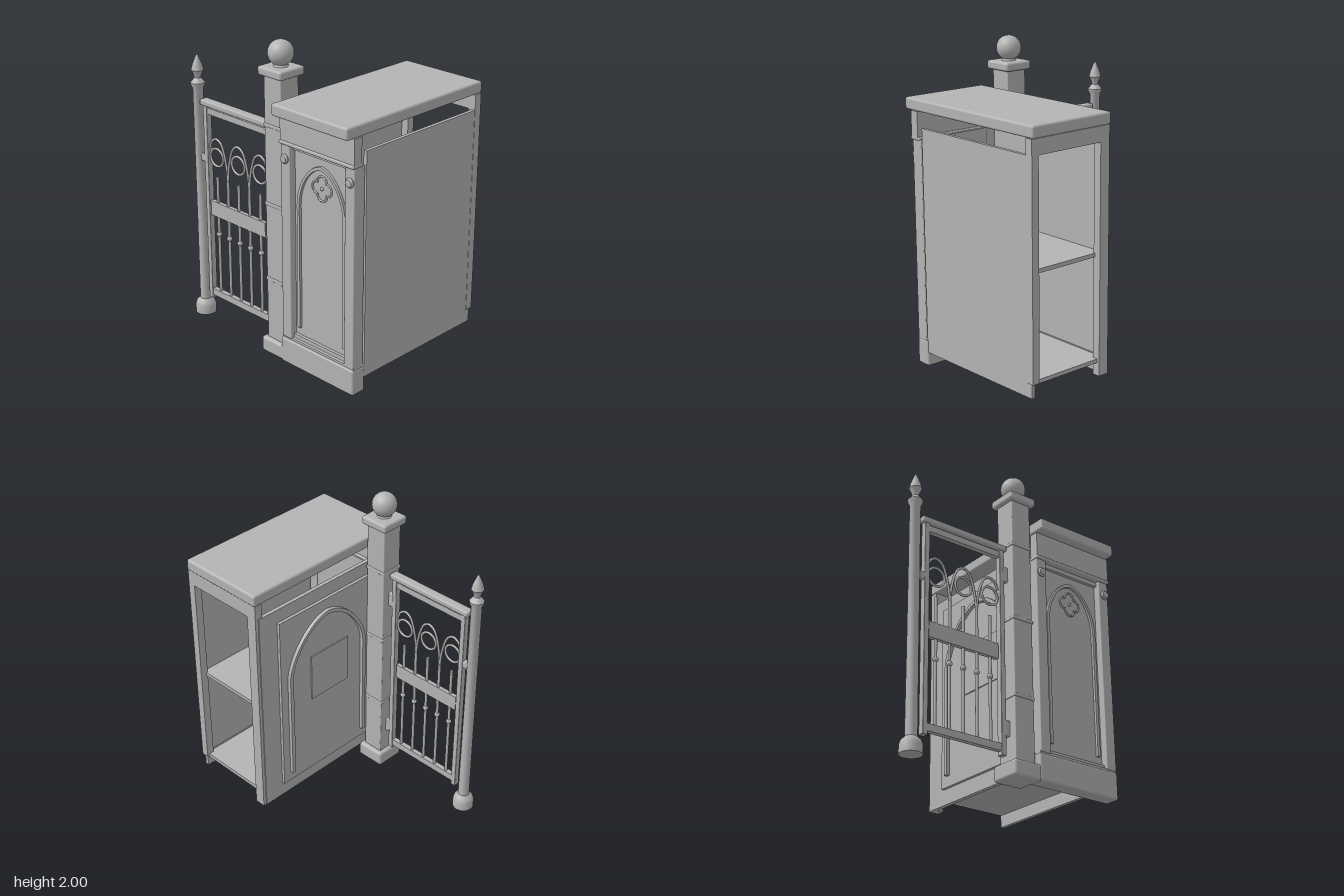
import * as THREE from 'three';
import { RoundedBoxGeometry } from 'three/addons/geometries/RoundedBoxGeometry.js';
import { toCreasedNormals } from 'three/addons/utils/BufferGeometryUtils.js';

const stone = new THREE.MeshStandardMaterial({ color: 0xb4b4b4 });
stone.name = 'light grey';

function add(parent, name, geometry, x = 0, y = 0, z = 0) {
  const mesh = new THREE.Mesh(geometry, stone);
  mesh.name = name;
  mesh.position.set(x, y, z);
  parent.add(mesh);
  return mesh;
}

// Box given by its limits, with optional rounded edges
function box(parent, name, [x0, x1], [y0, y1], [z0, z1], r = 0) {
  const w = x1 - x0, h = y1 - y0, d = z1 - z0;
  const g = r ? new RoundedBoxGeometry(w, h, d, 3, r) : new THREE.BoxGeometry(w, h, d);
  return add(parent, name, g, (x0 + x1) / 2, (y0 + y1) / 2, (z0 + z1) / 2);
}

function group(parent, name) {
  const g = new THREE.Group();
  g.name = name;
  parent.add(g);
  return g;
}

const lathe = (points) => toCreasedNormals(
  new THREE.LatheGeometry(points.map(([r, y]) => new THREE.Vector2(r, y)), 24), 0.6);

// Pointed arch moulding, open at the bottom
function archMoulding(w, bottom, spring, apex, t, depth) {
  const i = w - t, top = apex - t, s = new THREE.Shape();
  s.moveTo(w, bottom);
  s.lineTo(w, spring);
  s.bezierCurveTo(w, spring + 0.14, w * 0.5, apex - 0.01, 0, apex);
  s.bezierCurveTo(-w * 0.5, apex - 0.01, -w, spring + 0.14, -w, spring);
  s.lineTo(-w, bottom);
  s.lineTo(-i, bottom);
  s.lineTo(-i, spring);
  s.bezierCurveTo(-i, spring + 0.14, -i * 0.5, top - 0.01, 0, top);
  s.bezierCurveTo(i * 0.5, top - 0.01, i, spring + 0.14, i, spring);
  s.lineTo(i, bottom);
  s.closePath();
  return new THREE.ExtrudeGeometry(s, {
    depth: depth - 0.004, bevelThickness: 0.004, bevelSize: 0.003, bevelOffset: -0.003, bevelSegments: 2, curveSegments: 16,
  });
}

function buildCabinet(root) {
  const c = group(root, 'cabinet');
  box(c, 'top', [0.145, 0.74], [1.605, 1.68], [-0.58, 0.575], 0.015);
  box(c, 'frieze', [0.155, 0.74], [1.445, 1.605], [0.455, 0.515]);
  box(c, 'friezeMoulding', [0.15, 0.74], [1.428, 1.45], [0.44, 0.525], 0.008);
  box(c, 'plinth', [0.14, 0.74], [0, 0.17], [0.41, 0.515], 0.015);
  box(c, 'plinthMoulding', [0.15, 0.737], [0.165, 0.185], [0.42, 0.505]);

  // Side walls stop short of the top
  box(c, 'rightWall', [0.715, 0.738], [0.18, 1.51], [-0.57, 0.415]);
  box(c, 'rightSkirt', [0.71, 0.734], [0.09, 0.2], [-0.555, 0.415]);
  box(c, 'leftWall', [0.145, 0.17], [0.18, 1.51], [-0.55, 0.43]);
  box(c, 'leftSkirt', [0.145, 0.175], [0.09, 0.2], [-0.55, 0.415]);
  box(c, 'leftRaisedPanel', [0.125, 0.147], [0.19, 1.42], [-0.41, 0.39]);
  const sideArch = add(c, 'leftArchMoulding', archMoulding(0.33, 0.26, 0.98, 1.35, 0.028, 0.025), 0.126, 0, -0.025);
  sideArch.rotation.y = -Math.PI / 2;
  box(c, 'leftSquarePlate', [0.117, 0.127], [0.74, 1.06], [-0.16, 0.16]);

  // Open back with stiles and a top rail
  box(c, 'backStile', [0.69, 0.74], [0.18, 1.605], [-0.572, -0.52]);
  box(c, 'backStile', [0.15, 0.22], [0.09, 1.605], [-0.572, -0.52]);
  box(c, 'backRail', [0.15, 0.74], [1.51, 1.605], [-0.572, -0.52]);
  box(c, 'floor', [0.16, 0.725], [0.17, 0.195], [-0.555, 0.43]);
  box(c, 'shelf', [0.16, 0.725], [0.82, 0.845], [-0.53, 0.43]);
  box(c, 'storageBox', [0.4, 0.67], [0.845, 1.0], [-0.15, 0.15]);
  box(c, 'storageBoxLid', [0.42, 0.63], [1.0, 1.06], [-0.11, 0.13]);

  // Front door, pilasters and knobs
  box(c, 'door', [0.2, 0.69], [0.18, 1.44], [0.43, 0.465]);
  box(c, 'doorTopRail', [0.22, 0.67], [1.4, 1.43], [0.45, 0.485]);
  box(c, 'doorBottomRail', [0.22, 0.67], [0.18, 0.21], [0.45, 0.485]);
  for (const x of [0.19, 0.7]) {
    box(c, 'pilaster', [x - 0.037, x + 0.037], [0.18, 1.432], [0.425, 0.51], 0.006);
    const k = x < 0.4 ? 0.19 : 0.705;
    const knob = add(c, 'knob', lathe([[0, 0], [0.028, 0], [0.03, 0.008], [0.022, 0.02], [0, 0.024]]), k, 1.34, 0.508);
    knob.rotation.x = Math.PI / 2;
  }
  add(c, 'doorArchMoulding', archMoulding(0.195, 0.26, 1.06, 1.35, 0.022, 0.018), 0.447, 0, 0.464);

  // Quatrefoil outline made of four open loops
  const q = group(c, 'quatrefoil');
  q.position.set(0.447, 1.215, 0.468);
  for (let i = 0; i < 4; i++) {
    const lobe = add(q, 'lobe', new THREE.TorusGeometry(0.037, 0.006, 8, 20, Math.PI * 1.12));
    const a = i * Math.PI / 2;
    lobe.position.set(Math.cos(a) * 0.039, Math.sin(a) * 0.039, 0);
    lobe.rotation.z = a - Math.PI * 0.56;
  }
  add(q, 'centreBead', new THREE.SphereGeometry(0.011, 12, 8));
}

function buildPillar(root) {
  const p = group(root, 'pillar');
  const square = (name, half, y0, y1, r) =>
    box(p, name, [0.06 - half, 0.06 + half], [y0, y1], [0.41 - half, 0.41 + half], r);
  square('pillarBase', 0.1, 0, 0.1, 0.018);
  square('pillarShaft', 0.071, 0.09, 1.8, 0.006);
  for (const y of [0.5, 0.995, 1.49]) square('pillarBand', 0.076, y - 0.011, y + 0.011, 0.006);
  square('pillarCap', 0.098, 1.79, 1.845, 0.016);
  add(p, 'ballNeck', new THREE.CylinderGeometry(0.035, 0.05, 0.03, 24), 0.06, 1.85, 0.41);
  add(p, 'ball', new THREE.SphereGeometry(0.077, 32, 20), 0.06, 1.923, 0.41);
}

function buildGate(root) {
  const g = group(root, 'gate');
  g.position.z = 0.41;

  // Round end post with a spear finial
  add(g, 'endPost', lathe([
    [0, 0], [0.067, 0], [0.067, 0.055], [0.058, 0.08], [0.036, 0.1], [0.034, 0.6], [0.033, 1.54],
    [0.044, 1.56], [0.045, 1.575], [0.036, 1.585], [0.02, 1.605], [0.024, 1.625], [0.039, 1.655],
    [0.03, 1.69], [0.012, 1.735], [0, 1.76],
  ]), -0.682, 0, 0);

  // Frame
  box(g, 'topRail', [-0.64, -0.02], [1.445, 1.482], [-0.03, 0.03], 0.01);
  box(g, 'upperRail', [-0.6, -0.05], [1.395, 1.435], [-0.016, 0.016]);
  box(g, 'bottomRail', [-0.6, -0.05], [0.155, 0.2], [-0.016, 0.016]);
  for (const x of [-0.603, -0.053])
    box(g, 'gateStile', [x - 0.017, x + 0.017], [0.13, 1.45], [-0.02, 0.02], 0.004);
  box(g, 'latch', [-0.66, -0.6], [1.072, 1.118], [-0.018, 0.018], 0.006);
  for (const y of [0.3, 1.29]) box(g, 'hinge', [-0.045, 0], [y - 0.048, y + 0.048], [-0.022, 0.022], 0.006);

  // Vertical bars with beads, and a cross plate
  for (let i = 0; i < 5; i++) {
    const x = -0.525 + i * 0.0975;
    add(g, 'bar', new THREE.CylinderGeometry(0.01, 0.01, 0.81, 10), x, 0.585, 0);
    add(g, 'barBead', new THREE.SphereGeometry(0.018, 14, 10), x, 0.6, 0);
  }
  box(g, 'crossPlate', [-0.58, -0.083], [0.722, 0.82], [-0.013, 0.013]);

  // Three arches with rings; the outer halves end at the frame
  for (let i = 0; i < 3; i++) {
    const x = -0.525 + i * 0.195;
    add(g, 'ring', new THREE.TorusGeometry(0.058, 0.008, 8, 32), x, 1.12, 0);
    const half = (s, cut) => (cut ? [[0.062, 1.175]] : [[0.097, 0.99], [0.087, 1.08], [0.065, 1.17]])
      .concat([[0.04, 1.22]]).map(([a, y]) => new THREE.Vector3(a * s, y, 0));
    const path = [...half(-1, i === 0), new THREE.Vector3(0, 1.241, 0), ...half(1, i === 2).reverse()];
    add(g, 'arch', new THREE.TubeGeometry(new THREE.CatmullRomCurve3(path), 32, 0.008, 8), x, 0, 0);
  }
}

export function createModel() {
  const root = new THREE.Group();
  root.name = 'gateAndCabinet';
  buildCabinet(root);
  buildPillar(root);
  buildGate(root);
  return root;
}
